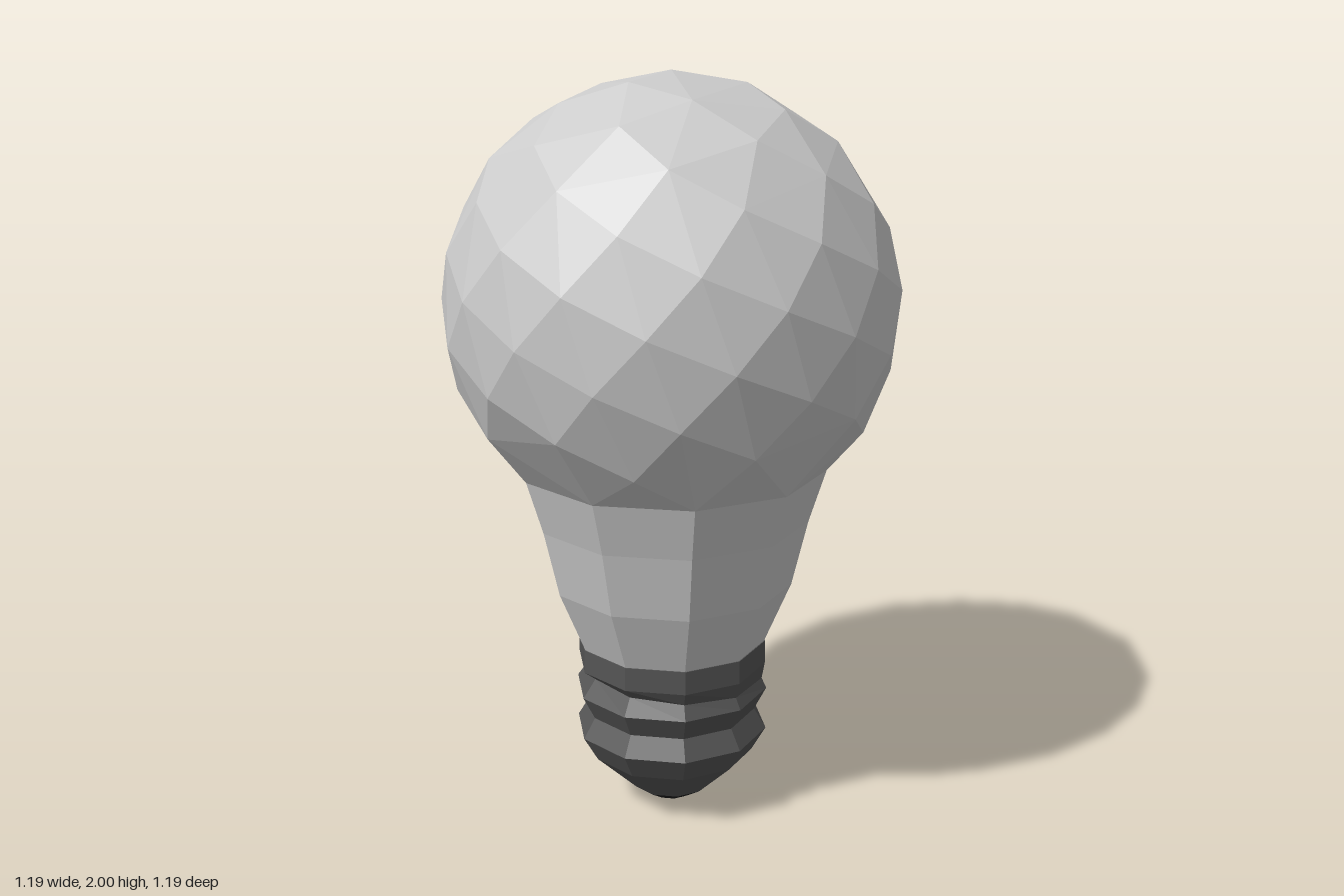
import * as THREE from 'three';
import { ConvexGeometry } from 'three/addons/geometries/ConvexGeometry.js';

const SIDES = 10;
const RADIUS = 0.597;
const CENTER_Y = 1.403;

function part(name, geometry, color) {
  const material = new THREE.MeshStandardMaterial({ color, flatShading: true, side: THREE.DoubleSide });
  const mesh = new THREE.Mesh(geometry, material);
  mesh.name = name;
  return mesh;
}

// Profile of [radius, height] pairs, from bottom to top
function lathe(profile) {
  return new THREE.LatheGeometry(profile.map(([r, y]) => new THREE.Vector2(r, y)), SIDES);
}

// Faceted globe: hull of evenly spread points on a sphere, cut off at the neck
function globeGeometry() {
  const points = [];
  const count = 112;
  const golden = Math.PI * (3 - Math.sqrt(5));
  for (let i = 0; i < count; i++) {
    const h = 1 - (2 * i) / (count - 1);
    const y = CENTER_Y + RADIUS * h;
    if (y < 1.06) break;
    const r = RADIUS * Math.sqrt(1 - h * h);
    points.push(new THREE.Vector3(r * Math.sin(i * golden), y, r * Math.cos(i * golden)));
  }
  // Rim shared with the neck
  for (let i = 0; i < SIDES; i++) {
    const a = (i / SIDES) * Math.PI * 2;
    points.push(new THREE.Vector3(0.415 * Math.sin(a), 0.975, 0.415 * Math.cos(a)));
  }
  return new ConvexGeometry(points);
}

// Screw base: the upper groove fades out towards one side, like a thread run-out
function screwGeometry() {
  const geometry = lathe([
    [0.11, 0.04], [0.225, 0.15], [0.265, 0.22], [0.232, 0.275],
    [0.265, 0.34], [0.24, 0.38], [0.26, 0.415], [0.26, 0.48], [0.25, 0.48],
  ]);
  const pos = geometry.attributes.position;
  for (let i = 0; i < pos.count; i++) {
    if (Math.abs(pos.getY(i) - 0.38) > 0.005) continue;
    const x = pos.getX(i), z = pos.getZ(i);
    const fade = (x + z) / (Math.hypot(x, z) * Math.SQRT2);
    const s = 1 + 0.05 * fade;
    pos.setXYZ(i, x * s, 0.38 - 0.012 * fade, z * s);
  }
  return geometry;
}

export function createModel() {
  const group = new THREE.Group();
  group.name = 'lightBulb';

  group.add(part('glassGlobe', globeGeometry(), 0xcccccc));
  group.add(part('glassNeck', lathe([
    [0.255, 0.475], [0.328, 0.65], [0.37, 0.83], [0.415, 0.975],
  ]), 0xcccccc));
  group.add(part('screwBase', screwGeometry(), 0x555555));
  group.add(part('contactTip', lathe([
    [0, 0], [0.055, 0.005], [0.11, 0.04],
  ]), 0x1c1c1c));

  return group;
}
